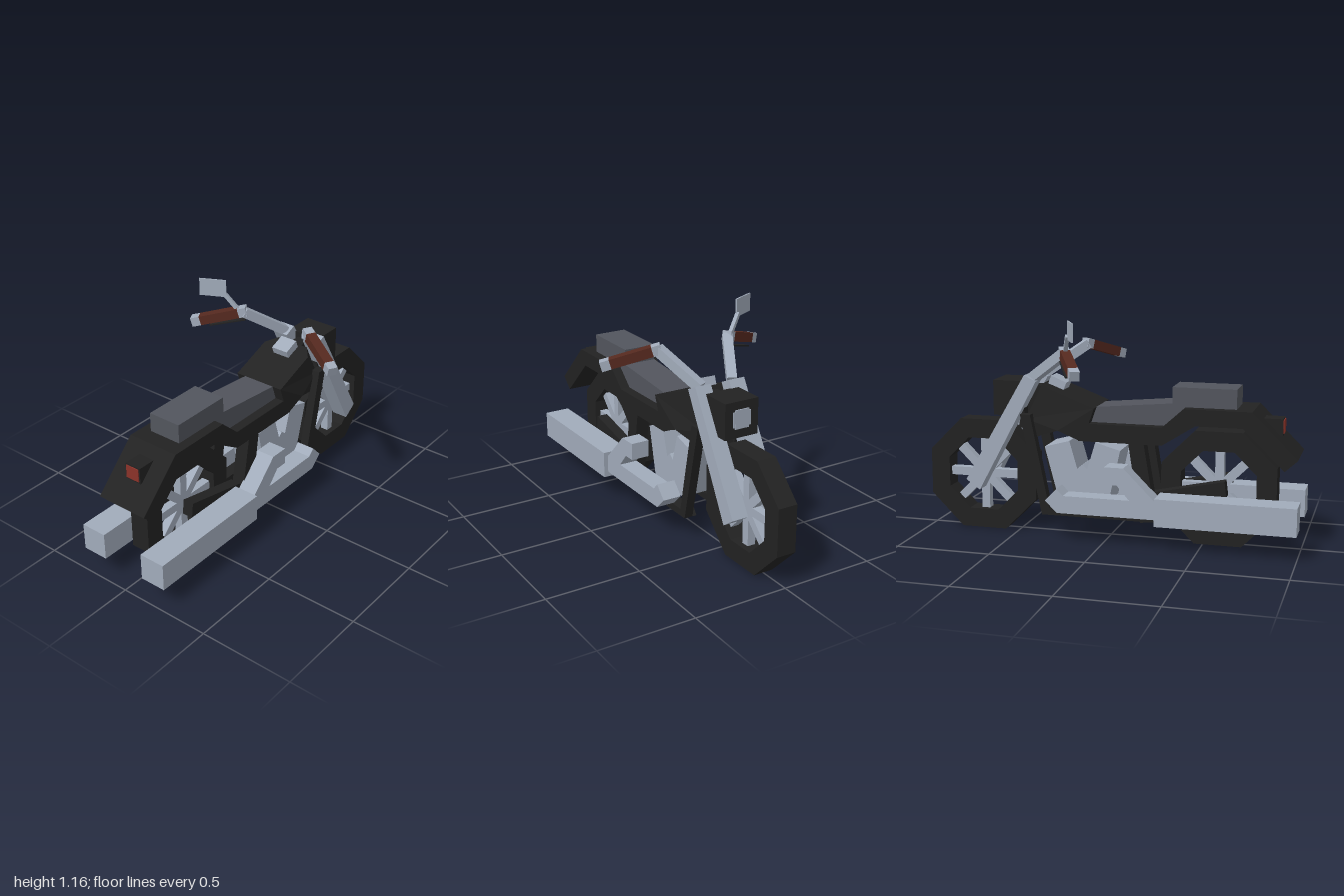
import * as THREE from 'three';

const mat = (name, color, extra = {}) => {
  const m = new THREE.MeshStandardMaterial({ color, flatShading: true, ...extra });
  m.name = name;
  return m;
};

export function createModel() {
  const black = mat('black paint', 0x222222);
  const steel = mat('steel', 0xa1abba);
  const leather = mat('seat leather', 0x52555d);
  const brown = mat('grip brown', 0x55291f);
  const red = mat('tail light red', 0x8a3229);
  const bike = new THREE.Group();
  bike.name = 'motorcycle';

  const add = (name, geo, material, parent = bike) => {
    const mesh = new THREE.Mesh(geo, material);
    mesh.name = name;
    parent.add(mesh);
    return mesh;
  };
  const shapeOf = (pts) => new THREE.Shape(pts.map(([x, y]) => new THREE.Vector2(x, y)));
  // Side profile extruded from z0 to z1
  const slabGeo = (shape, z0, z1) =>
    new THREE.ExtrudeGeometry(shape, { depth: z1 - z0, bevelEnabled: false }).translate(0, 0, z0);
  const slab = (name, pts, z0, z1, material) => add(name, slabGeo(shapeOf(pts), z0, z1), material);
  // Same profile on both sides of the bike
  const pair = (name, pts, z0, z1, material) => {
    slab(name + 'Right', pts, z0, z1, material);
    slab(name + 'Left', pts, -z1, -z0, material);
  };
  const box = (name, x0, x1, y0, y1, z0, z1, material) =>
    add(name, new THREE.BoxGeometry(x1 - x0, y1 - y0, z1 - z0)
      .translate((x0 + x1) / 2, (y0 + y1) / 2, (z0 + z1) / 2), material);
  // Square bar between two points
  const beam = (name, a, b, w, h, material) => {
    const p = new THREE.Vector3(...a), q = new THREE.Vector3(...b);
    const mesh = add(name, new THREE.BoxGeometry(w, h, p.distanceTo(q)), material);
    mesh.position.copy(p).add(q).multiplyScalar(0.5);
    mesh.lookAt(q);
    return mesh;
  };

  // Wheels: octagonal tyre and eight spokes
  const octagon = (r) => Array.from({ length: 8 }, (_, i) => {
    const a = Math.PI / 8 + i * Math.PI / 4;
    return [r * Math.cos(a), r * Math.sin(a)];
  });
  const wheel = (name, x) => {
    const g = new THREE.Group();
    g.name = name;
    g.position.set(x, 0.298, 0);
    const ring = shapeOf(octagon(0.322));
    ring.holes.push(new THREE.Path(octagon(0.211).map(([u, v]) => new THREE.Vector2(u, v))));
    add('tyre', slabGeo(ring, -0.053, 0.053), black, g);
    for (let i = 0; i < 4; i++) {
      add('spoke', new THREE.BoxGeometry(0.4, 0.045, 0.045), steel, g).rotation.z = i * Math.PI / 4;
    }
    bike.add(g);
  };
  wheel('frontWheel', 0.7);
  wheel('rearWheel', -0.577);

  // Rear fender running forward under the seat
  slab('fender', [[-0.985, 0.49], [-0.92, 0.43], [-0.71, 0.635], [-0.47, 0.635], [-0.3, 0.527],
    [0.14, 0.527], [0.14, 0.62], [-0.3, 0.62], [-0.41, 0.72], [-0.755, 0.72]], -0.142, 0.142, black);

  // Fuel tank, narrowing at the front
  const tank = slabGeo(shapeOf([[0.055, 0.7], [0.09, 0.6], [0.13, 0.527], [0.25, 0.575],
    [0.4, 0.52], [0.44, 0.62], [0.345, 0.81], [0.29, 0.79]]), -0.142, 0.142);
  const tp = tank.attributes.position;
  for (let i = 0; i < tp.count; i++) if (tp.getX(i) > 0.32) tp.setZ(i, tp.getZ(i) * 0.66);
  tank.computeVertexNormals();
  add('fuelTank', tank, black);

  // Seats
  slab('riderSeat', [[-0.41, 0.72], [-0.3, 0.62], [0.09, 0.62], [0.058, 0.7], [-0.345, 0.737]],
    -0.09, 0.09, leather);
  box('passengerSeat', -0.67, -0.342, 0.715, 0.82, -0.09, 0.09, leather);

  // Tail light
  box('tailLightHousing', -0.896, -0.79, 0.59, 0.675, -0.045, 0.045, black);
  box('tailLight', -0.901, -0.896, 0.6, 0.668, -0.038, 0.038, red);

  // Frame tubes
  pair('downTube', [[0.3, 0.16], [0.34, 0.122], [0.455, 0.65], [0.4, 0.65]], 0.095, 0.142, black);
  pair('lowerRail', [[-0.28, 0.122], [0.34, 0.122], [0.31, 0.16], [-0.28, 0.16]], 0.07, 0.142, black);
  pair('seatTube', [[-0.275, 0.13], [-0.19, 0.115], [-0.125, 0.54], [-0.205, 0.54]], 0.07, 0.142, black);
  pair('swingArm', [[-0.63, 0.275], [-0.27, 0.2], [-0.25, 0.275], [-0.62, 0.355]], 0.06, 0.12, black);

  // V engine
  slab('engine', [[-0.01, 0.2], [0.26, 0.2], [0.335, 0.478], [0.2, 0.515], [0.158, 0.37],
    [0.128, 0.392], [0.104, 0.37], [0.06, 0.515], [-0.073, 0.478]], -0.1, 0.1, steel);

  // Exhaust pipes and mufflers
  pair('upperPipe', [[-0.29, 0.163], [-0.16, 0.25], [-0.09, 0.33], [-0.025, 0.33],
    [-0.025, 0.42], [-0.125, 0.42], [-0.29, 0.255]], 0.135, 0.236, steel);
  pair('lowerPipe', [[-0.29, 0.163], [0.228, 0.163], [0.292, 0.225], [0.23, 0.29],
    [0.195, 0.255], [-0.29, 0.255]], 0.135, 0.236, steel);
  pair('muffler', [[-1, 0.135], [-0.29, 0.135], [-0.29, 0.278], [-1, 0.278]], 0.12, 0.26, steel);

  // Front fork, neck and headlight
  pair('fork', [[0.366, 0.826], [0.687, 0.232], [0.762, 0.285], [0.43, 0.856]], 0.053, 0.142, steel);
  slab('steeringNeck', [[0.335, 0.79], [0.4, 0.56], [0.5, 0.56], [0.46, 0.79]], -0.036, 0.036, black);
  box('headlight', 0.447, 0.617, 0.633, 0.818, -0.095, 0.095, black);
  box('headlightLens', 0.617, 0.622, 0.69, 0.767, -0.05, 0.05, steel);
  box('headlightLensCentre', 0.617, 0.623, 0.68, 0.777, -0.04, 0.04, steel);
  slab('gauge', [[0.23, 0.812], [0.26, 0.74], [0.34, 0.775], [0.313, 0.846]], -0.048, 0.048, steel);

  // Handlebars with grips
  for (const s of [1, -1]) {
    const along = (t) => [0.195 - 0.135 * t, 0.993 - 0.083 * t, s * (0.2 + 0.252 * t)];
    beam('handlebar', [0.4, 0.835, s * 0.09], [0.185, 0.99, s * 0.205], 0.05, 0.05, steel);
    beam('handlebarElbow', along(-0.03), along(0.12), 0.05, 0.05, steel);
    beam('grip', along(0.12), along(0.84), 0.05, 0.05, brown);
    beam('gripEnd', along(0.84), along(1), 0.05, 0.05, steel);
  }
  beam('lever', [0.2, 0.945, -0.2], [0.115, 0.892, -0.375], 0.035, 0.007, black);

  // Mirror
  beam('mirrorStem', [0.175, 1.0, -0.235], [0.143, 1.085, -0.3], 0.02, 0.02, steel);
  const mirror = add('mirror', new THREE.BoxGeometry(0.008, 0.094, 0.142), steel);
  mirror.position.set(0.113, 1.113, -0.35);
  mirror.rotation.y = 0.46;

  return bike;
}
